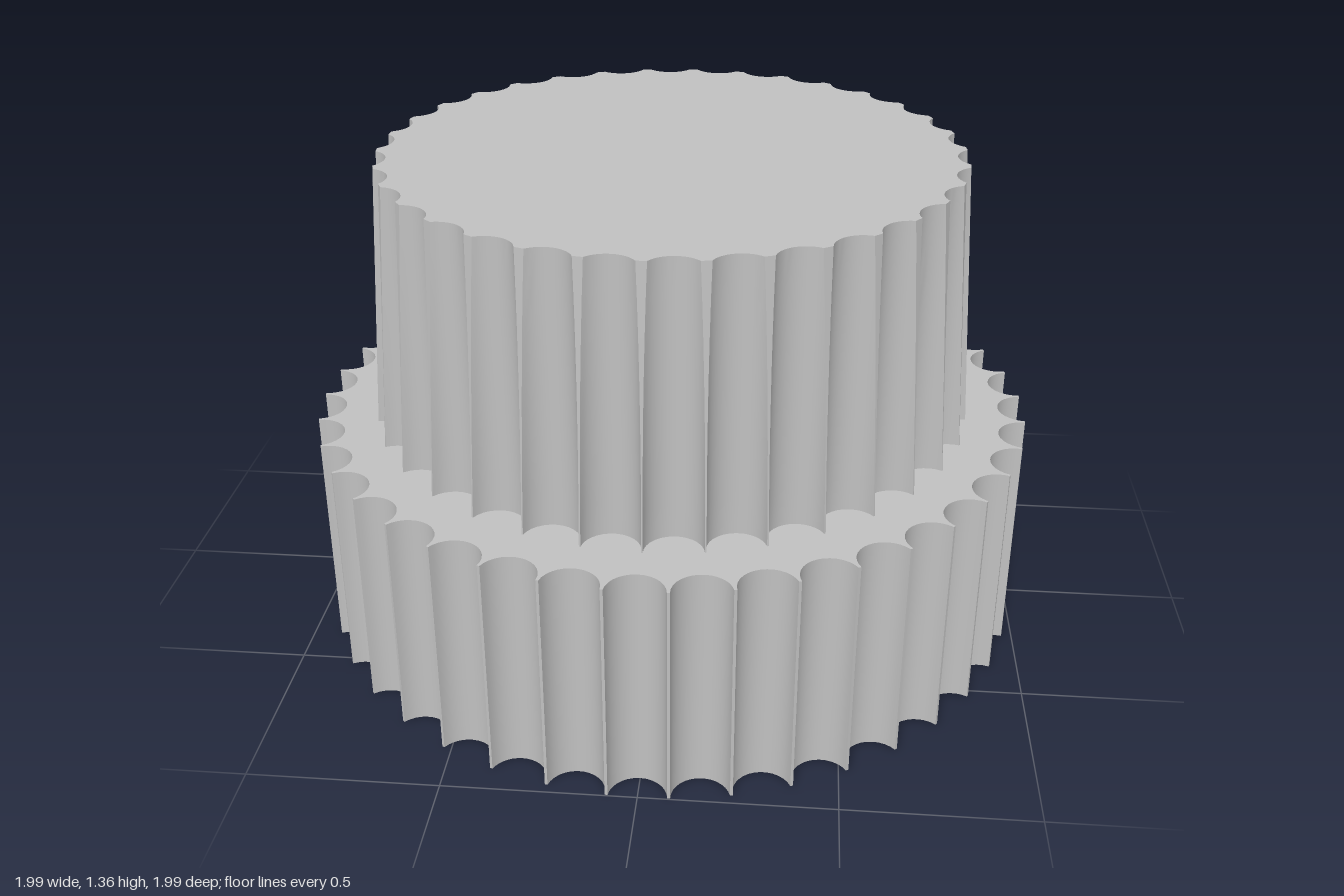
import * as THREE from 'three';
import { toCreasedNormals } from 'three/addons/utils/BufferGeometryUtils.js';

const BASE_TOP = 0.615, TOP = 1.355, BORE_DEPTH = 0.9;

// Circle of radius R with n round notches; notch circles of radius r sit at distance c
function flutedOutline(n, R, c, r, phase) {
  const pts = [], seg = 14;
  const beta = Math.acos((c * c + r * r - R * R) / (2 * c * r));
  for (let i = 0; i < n; i++) {
    const a = (i + phase) * Math.PI * 2 / n, s = Math.sin(a), k = Math.cos(a);
    for (let j = 0; j <= seg; j++) {
      const t = beta * (2 * j / seg - 1);
      const radial = c - r * Math.cos(t), side = r * Math.sin(t);
      pts.push(new THREE.Vector2(s * radial + k * side, k * radial - s * side));
    }
  }
  return pts;
}

// Wall through a stack of matching closed outlines (x, z) at heights y
function loft(rings) {
  const pos = [], idx = [], n = rings[0].pts.length;
  for (const { y, pts } of rings) for (const p of pts) pos.push(p.x, y, p.y);
  for (let k = 0; k < rings.length - 1; k++) {
    for (let i = 0; i < n; i++) {
      const a = k * n + i, b = k * n + (i + 1) % n;
      idx.push(a, b, b + n, a, b + n, a + n);
    }
  }
  const g = new THREE.BufferGeometry();
  g.setAttribute('position', new THREE.Float32BufferAttribute(pos, 3));
  g.setIndex(idx);
  return toCreasedNormals(g, 0.55);
}

// Flat horizontal face, facing up or down
function cap(pts, y, up, hole) {
  const flip = up ? -1 : 1;
  const toShape = (list) => list.map((p) => new THREE.Vector2(p.x, flip * p.y));
  const shape = new THREE.Shape(toShape(pts));
  if (hole) shape.holes.push(new THREE.Path(toShape(hole)));
  return new THREE.ShapeGeometry(shape).rotateX(flip * Math.PI / 2).translate(0, y, 0);
}

export function createModel() {
  const group = new THREE.Group();
  const grey = new THREE.MeshStandardMaterial({ color: 0xc0c0c0 });
  grey.name = 'plain grey';
  const add = (name, geometry) => {
    const mesh = new THREE.Mesh(geometry, grey);
    mesh.name = name;
    group.add(mesh);
  };

  // D-shaped shaft bore with its flat towards the back
  const boreR = 0.39, start = -Math.asin(0.235 / boreR), bore = [];
  for (let i = 0; i <= 48; i++) {
    const t = start + (Math.PI - 2 * start) * i / 48;
    bore.push(new THREE.Vector2(boreR * Math.cos(t), boreR * Math.sin(t)));
  }
  add('boreWall', loft([{ y: 0, pts: bore }, { y: BORE_DEPTH, pts: bore }]));
  add('boreEnd', cap(bore, BORE_DEPTH, false));

  // Straight fluted base
  const base = flutedOutline(40, 1, 1.003, 0.075, 0);
  const inner = new THREE.Path().absarc(0, 0, 0.7, 0, Math.PI * 2).getPoints(32).slice(0, -1);
  add('baseWall', loft([{ y: 0, pts: base }, { y: BASE_TOP, pts: base }]));
  add('baseUnderside', cap(base, 0, false, bore));
  add('baseShoulder', cap(base, BASE_TOP, true, inner));

  // Tapered grip cut by upright flutes
  const rings = [];
  for (let i = 0; i <= 8; i++) {
    const t = i / 8;
    rings.push({
      y: BASE_TOP + (TOP - BASE_TOP) * t,
      pts: flutedOutline(34, 0.835 - 0.045 * t, 0.833, 0.075, 0.5),
    });
  }
  add('gripWall', loft(rings));
  add('gripTop', cap(rings[8].pts, TOP, true));

  return group;
}
